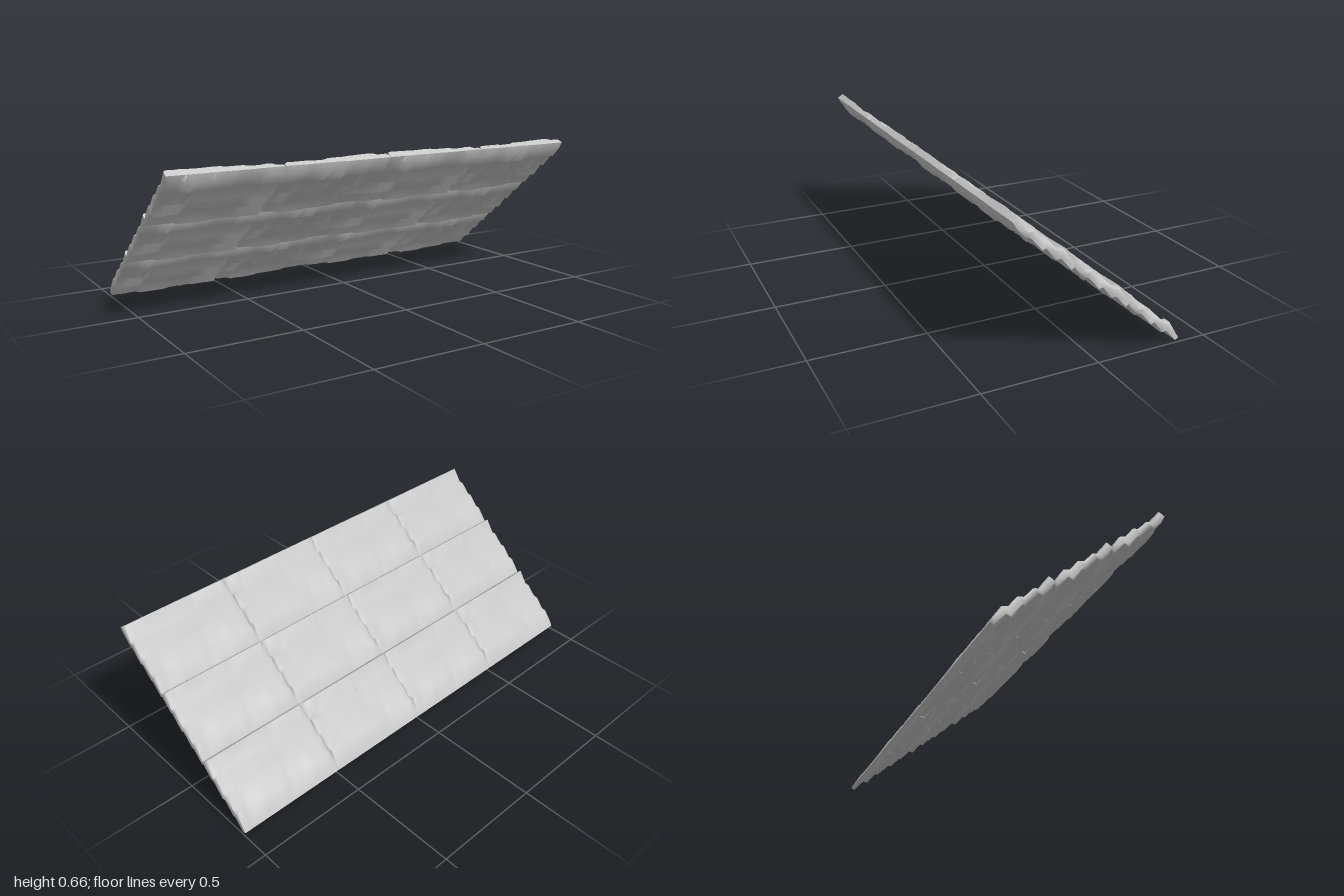
import * as THREE from 'three';
import { toCreasedNormals } from 'three/addons/utils/BufferGeometryUtils.js';

// Stepped cross-section [z, y] of one panel: down the top, back up the underside
const PROFILE = [
  [0.35, 0.662], [0.312, 0.602], [0.287, 0.606], [0.25, 0.556], [0.226, 0.558],
  [0.19, 0.507], [0.165, 0.506], [0.133, 0.455], [0.121, 0.427],
  [0.144, 0.408], [0.185, 0.466], [0.205, 0.46], [0.246, 0.518], [0.265, 0.51],
  [0.31, 0.57], [0.335, 0.565], [0.368, 0.61], [0.375, 0.643],
];
const CENTRE = [0.248, 0.535];
const NORMAL = [-0.634, 0.773]; // across the slab, in z and y
const HALF = 0.2495;
const SEGMENTS = 22;
const ROW_STEP = [0.247, 0.2025];

function seeded(seed) {
  let s = seed;
  return () => (s = (s * 16807) % 2147483647) / 2147483647;
}

// How far each course is worn back along x: short runs of constant depth
function wornRuns(rand) {
  const values = [];
  while (values.length <= SEGMENTS) {
    const depth = rand() * rand() * 0.55;
    const run = 2 + Math.floor(rand() * 5);
    for (let k = 0; k < run; k++) values.push(depth + rand() * 0.06);
  }
  return values;
}

function panelGeometry(seed) {
  const rand = seeded(seed);
  const n = PROFILE.length;
  const courses = Array.from({ length: n / 2 + 1 }, () => wornRuns(rand));
  const positions = [];
  const indices = [];

  for (let j = 0; j <= SEGMENTS; j++) {
    const end = j === 0 || j === SEGMENTS;
    const inner = -0.241 + (0.482 * (j - 1)) / (SEGMENTS - 2);
    const x = end ? (j === 0 ? -HALF : HALF) : inner;
    PROFILE.forEach(([z, y], i) => {
      const d = (z - CENTRE[0]) * NORMAL[0] + (y - CENTRE[1]) * NORMAL[1];
      const shrink = courses[Math.floor((i + 1) / 2)][j] + (end ? 0.2 : 0);
      const wobble = end ? 0 : (rand() - 0.5) * 0.01;
      positions.push(x + wobble, y - NORMAL[1] * d * shrink, z - NORMAL[0] * d * shrink);
    });
  }
  // Skin between neighbouring sections
  for (let j = 0; j < SEGMENTS; j++) {
    for (let i = 0; i < n; i++) {
      const a = j * n + i, b = a + n;
      const d = j * n + ((i + 1) % n), c = d + n;
      indices.push(a, b, c, a, c, d);
    }
  }
  // End caps, stitched between top and underside
  const last = SEGMENTS * n;
  for (let i = 0; i < n / 2 - 1; i++) {
    const a = i, b = n - 1 - i, c = n - 2 - i, d = i + 1;
    indices.push(last + a, last + b, last + c, last + a, last + c, last + d);
    indices.push(a, c, b, a, d, c);
  }
  const geometry = new THREE.BufferGeometry();
  geometry.setAttribute('position', new THREE.Float32BufferAttribute(positions, 3));
  geometry.setIndex(indices);
  return toCreasedNormals(geometry, 1.15);
}

export function createModel() {
  const roof = new THREE.Group();
  roof.name = 'slopedRoof';
  const stone = new THREE.MeshStandardMaterial({ color: 0xc6c6c6 });
  stone.name = 'pale grey stone';

  // Two worn panel variants alternate along each of the three rows
  const variants = [panelGeometry(1237), panelGeometry(90481)];
  for (let row = 0; row < 3; row++) {
    for (let column = 0; column < 4; column++) {
      const panel = new THREE.Mesh(variants[column % 2], stone);
      panel.name = `roofPanelRow${row + 1}Column${column + 1}`;
      panel.position.set(-0.75 + column * 0.5, -row * ROW_STEP[1], -row * ROW_STEP[0]);
      roof.add(panel);
    }
  }
  return roof;
}
